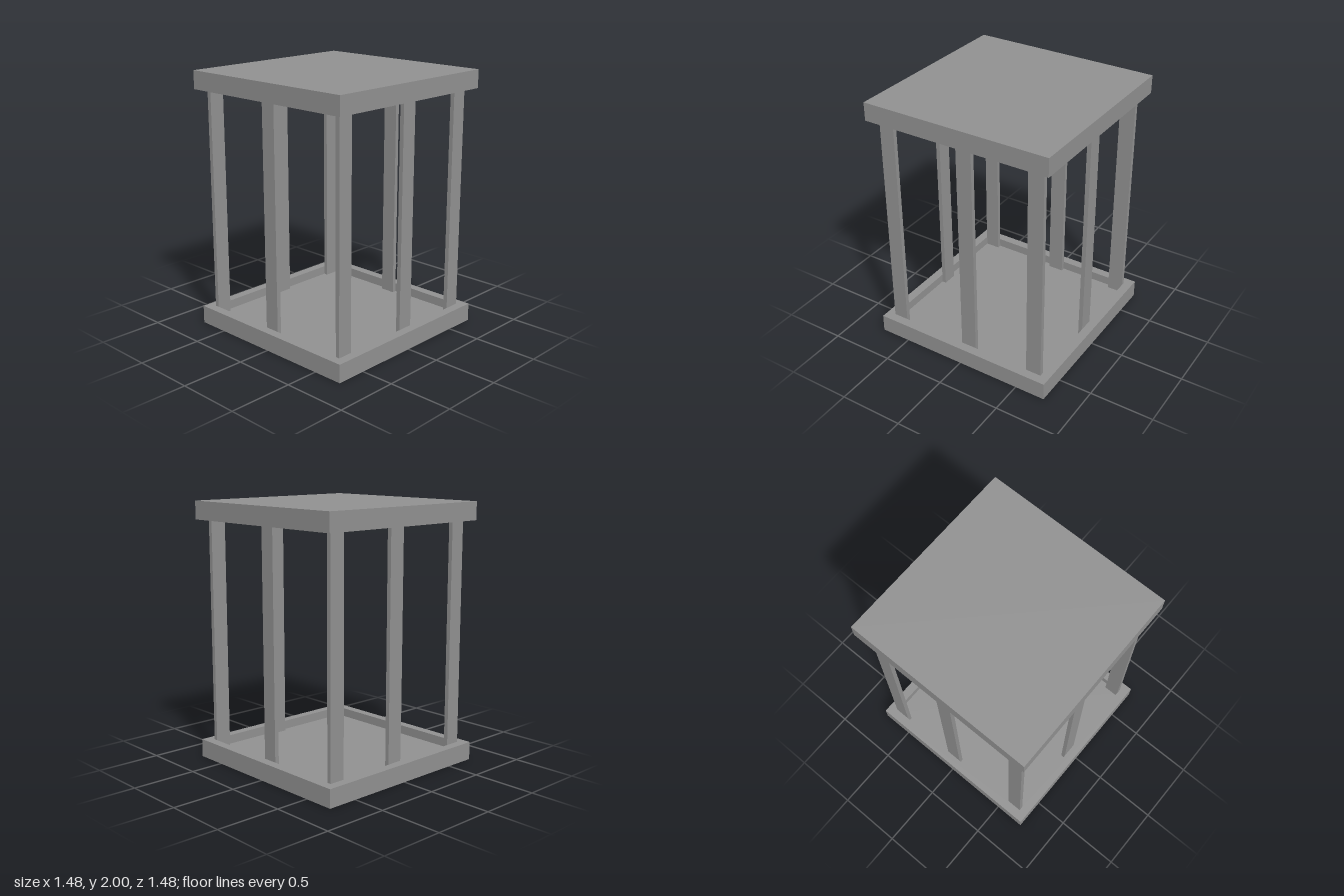
import * as THREE from 'three';

const HALF = 0.74;     // half width of the trays
const INNER = 0.67;    // inner face of the rim
const TRAY = 0.14;     // tray height
const FLOOR = 0.07;    // plate thickness inside the rim
const BAR = 0.033;     // bar thickness

const material = new THREE.MeshStandardMaterial({ color: 0x909090 });

function square(PathType, r) {
  const p = new PathType();
  p.moveTo(-r, -r);
  p.lineTo(r, -r);
  p.lineTo(r, r);
  p.lineTo(-r, r);
  p.closePath();
  return p;
}

// Box given by its minimum and maximum corners
function box(name, [x0, y0, z0], [x1, y1, z1]) {
  const mesh = new THREE.Mesh(new THREE.BoxGeometry(x1 - x0, y1 - y0, z1 - z0), material);
  mesh.position.set((x0 + x1) / 2, (y0 + y1) / 2, (z0 + z1) / 2);
  mesh.name = name;
  return mesh;
}

// Square tray: a plate with a raised rim, opening upward
function tray(name) {
  const group = new THREE.Group();
  group.name = name;
  const plate = box('plate', [-HALF, 0, -HALF], [HALF, FLOOR, HALF]);

  const outline = square(THREE.Shape, HALF);
  outline.holes.push(square(THREE.Path, INNER));
  const rimGeometry = new THREE.ExtrudeGeometry(outline, { depth: TRAY - FLOOR, bevelEnabled: false });
  rimGeometry.rotateX(-Math.PI / 2);
  const rim = new THREE.Mesh(rimGeometry, material);
  rim.name = 'rim';
  rim.position.y = FLOOR;

  group.add(plate, rim);
  return group;
}

export function createModel() {
  const model = new THREE.Group();
  model.name = 'cage';

  // Base and upside-down roof
  const base = tray('base');
  const roof = tray('roof');
  roof.rotation.x = Math.PI;
  roof.position.y = 2;
  model.add(base, roof);

  const low = FLOOR;
  const high = 2 - FLOOR;

  // Three flat bars along the front and the back
  for (const [x0, x1] of [[-0.672, -0.553], [-0.025, 0.099], [0.547, 0.67]]) {
    model.add(box('frontBar', [x0, low, INNER - BAR], [x1, high, INNER]));
    model.add(box('backBar', [x0, low, -INNER], [x1, high, -INNER + BAR]));
  }

  // One flat bar in the middle of each side
  model.add(box('leftBar', [INNER - BAR, low, -0.077], [INNER, high, 0.042]));
  model.add(box('rightBar', [-INNER, low, -0.077], [-INNER + BAR, high, 0.042]));

  return model;
}
